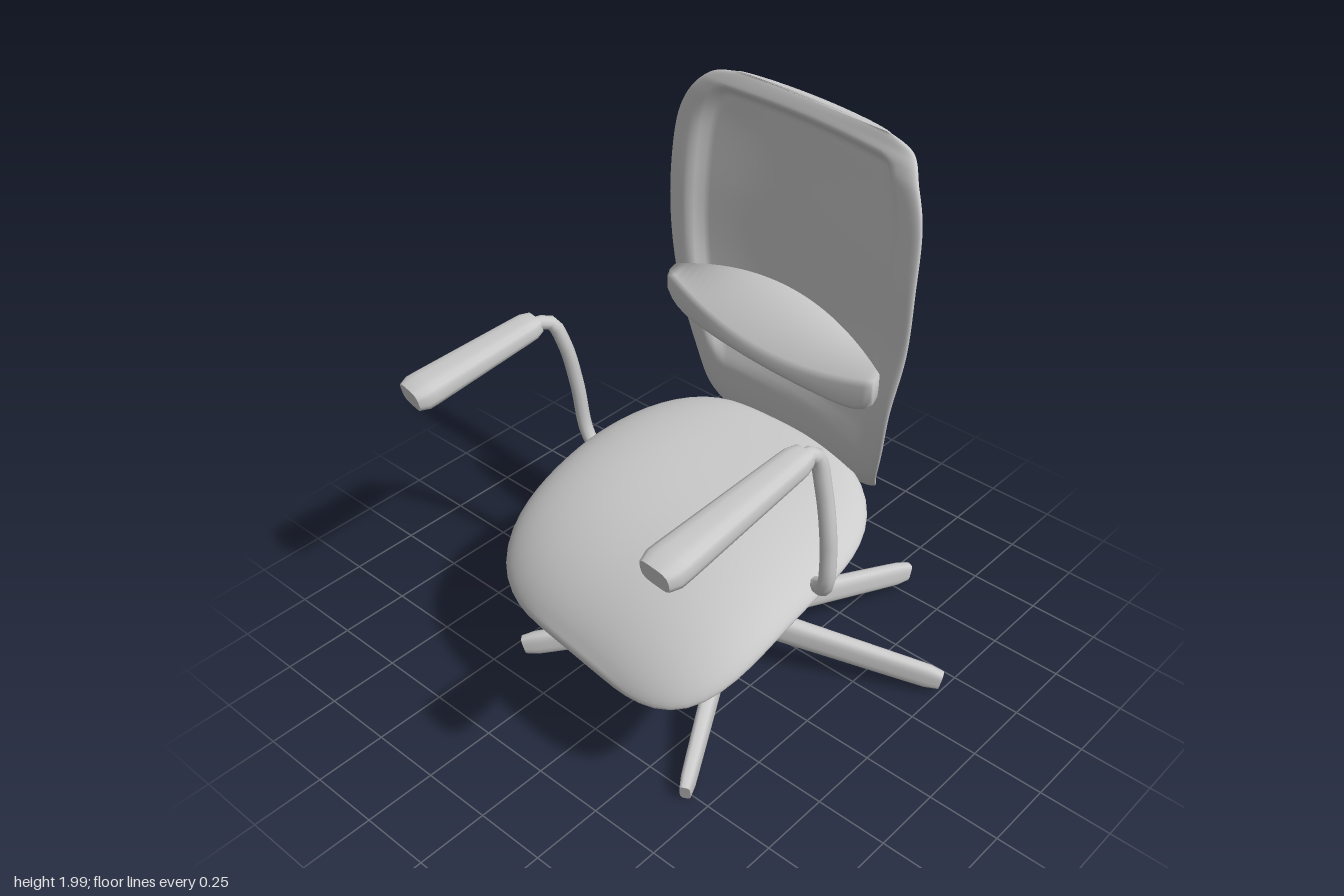
import * as THREE from 'three';

const material = new THREE.MeshStandardMaterial({ color: 0xcccccc, side: THREE.DoubleSide });
const V = (x, y, z) => new THREE.Vector3(x, y, z);
const smooth = THREE.MathUtils.smoothstep;
const safeRoot = x => Math.sqrt(Math.max(0, x));

function add(parent, name, geometry) {
  const mesh = new THREE.Mesh(geometry, material);
  mesh.name = name;
  parent.add(mesh);
  return mesh;
}

// Skin over rows of closed rings; first and last rows are closed by a fan
function loft(rows) {
  const n = rows[0].length, pos = [], idx = [];
  rows.forEach(r => r.forEach(p => pos.push(p.x, p.y, p.z)));
  for (let i = 0; i < rows.length - 1; i++) {
    for (let j = 0; j < n; j++) {
      const a = i * n + j, b = i * n + (j + 1) % n;
      idx.push(a, b, a + n, b, b + n, a + n);
    }
  }
  const last = (rows.length - 1) * n;
  for (let j = 1; j < n - 1; j++) {
    idx.push(0, j + 1, j, last, last + j, last + j + 1);
  }
  const g = new THREE.BufferGeometry();
  g.setAttribute('position', new THREE.Float32BufferAttribute(pos, 3));
  g.setIndex(idx);
  g.computeVertexNormals();
  return g;
}

function tube(parent, name, points, radius) {
  const curve = new THREE.CatmullRomCurve3(points.map(p => V(...p)));
  return add(parent, name, new THREE.TubeGeometry(curve, 40, radius, 10));
}

// Tapered bar with a rounded rectangular section and softened ends
function bar(parent, name, from, to, [w0, h0], [w1, h1]) {
  const a = V(...from), b = V(...to), len = a.distanceTo(b);
  const g = new THREE.CylinderGeometry(1, 1, len, 20, 16).rotateX(Math.PI / 2);
  const p = g.attributes.position;
  for (let i = 0; i < p.count; i++) {
    const x = p.getX(i), y = p.getY(i), t = THREE.MathUtils.clamp(p.getZ(i) / len + 0.5, 0, 1);
    const r = Math.hypot(x, y) || 1;
    const square = r / Math.max(0.001, (x ** 4 + y ** 4) ** 0.25);
    const k = square * (0.8 + 0.2 * safeRoot(1 - (2 * t - 1) ** 16)) / 2;
    p.setXY(i, x * k * THREE.MathUtils.lerp(w0, w1, t), y * k * THREE.MathUtils.lerp(h0, h1, t));
  }
  g.computeVertexNormals();
  const mesh = add(parent, name, g);
  mesh.position.copy(a).lerp(b, 0.5);
  mesh.lookAt(b);
  return mesh;
}

// Domed seat shell with a thick waterfall front, slightly turned
function seatGeometry() {
  const rows = [], steps = 22, sides = 72;
  for (let i = 0; i <= 2 * steps; i++) {
    const side = i <= steps ? 1 : -1;
    const r = Math.max(0.001, Math.sin((i / (2 * steps)) * Math.PI));
    const row = [];
    for (let j = 0; j < sides; j++) {
      const a = (j / sides) * Math.PI * 2, c = Math.cos(a), s = Math.sin(a);
      const k = r / (Math.abs(c) ** 3.6 + Math.abs(s) ** 3.6) ** (1 / 3.6);
      const u = c * k, v = s * k;
      const x = 0.06 - 0.03 * v + u * (0.54 - (v < 0 ? 0.06 * v * v : 0));
      const z = 0.135 + 0.475 * v + 0.06 * u * (0.5 + 0.5 * v);
      const t = THREE.MathUtils.clamp((0.16 + 0.48 * v + 0.3) / 0.93, 0, 1);
      const top = 0.888 - 0.13 * t - 0.24 * t ** 4 - 0.085 * Math.abs(u) ** 3;
      const half = 0.038 + 0.022 * smooth(v, -0.3, 1);
      row.push(V(x, top - half + side * half * safeRoot(1 - r ** 10), z));
    }
    rows.push(row.reverse());
  }
  return loft(rows.reverse());
}

// Back outline: height, right edge, left edge, depth, amount of curve
const backRows = [
  [0.66, 0.03, 0.24, -0.5, 0], [0.7, -0.06, 0.33, -0.465, 0.1], [0.77, -0.18, 0.45, -0.405, 0.3],
  [0.86, -0.25, 0.5, -0.36, 0.5], [1.0, -0.3, 0.55, -0.34, 0.75], [1.2, -0.38, 0.59, -0.345, 1],
  [1.4, -0.43, 0.62, -0.36, 1], [1.6, -0.44, 0.625, -0.37, 1], [1.8, -0.42, 0.61, -0.385, 0.9],
  [1.9, -0.37, 0.57, -0.39, 0.75], [1.97, -0.29, 0.52, -0.395, 0.5], [2.0, -0.18, 0.42, -0.395, 0.35],
];
const edgeCurve = new THREE.CatmullRomCurve3(backRows.map(r => V(r[1], r[0], r[2])));
const depthCurve = new THREE.CatmullRomCurve3(backRows.map(r => V(r[3], r[0], r[4])));

// Curved back with a raised border around a recessed panel
function backGeometry() {
  const rows = [], steps = 88, cols = 44;
  for (let i = 0; i <= steps; i++) {
    const e = edgeCurve.getPoint(i / steps), d = depthCurve.getPoint(i / steps);
    const half = (e.z - e.x) / 2, mid = (e.z + e.x) / 2, y = e.y;
    const thick = 0.03 * Math.sqrt(THREE.MathUtils.clamp((2.0 - y) / 0.05, 0.08, 1));
    const row = [];
    for (let j = 0; j < 2 * cols; j++) {
      const front = j < cols;
      const u = -Math.cos((j / cols) * Math.PI);
      const inside = smooth((1 - Math.abs(u)) * half, 0.09, 0.13) * smooth(2.0 - y, 0.05, 0.09) * smooth(y, 0.98, 1.1);
      const centre = d.x + d.z * (0.07 * u + 0.07 * u * u);
      const round = safeRoot(1 - u ** 6);
      row.push(V(mid + u * half, y, centre + (front ? thick * round - 0.03 * inside : -thick * round)));
    }
    rows.push(row);
  }
  return loft(rows);
}

// Boat-shaped lumbar cushion standing off the back
function lumbarGeometry() {
  const rows = [];
  for (let i = 0; i <= 32; i++) {
    const u = 1 - i / 16, x = 0.09 + 0.45 * u, belly = 1 - u * u;
    const front = -0.185 + 0.045 * u - 0.03 * u * u + 0.01 * belly;
    const rear = front - 0.04 - 0.12 * belly;
    const low = 1.165 + 0.05 * Math.abs(u) ** 12, top = 1.31 + 0.07 * belly;
    const crease = 1.215 + 0.065 * u * u;
    rows.push([
      V(x, low, front - 0.015), V(x, low + 0.02, front), V(x, crease, front),
      V(x, crease + 0.02, front - 0.012), V(x, top, rear), V(x, low + 0.02, rear),
    ]);
  }
  return loft(rows);
}

export function createModel() {
  const chair = new THREE.Group();
  chair.name = 'officeChair';

  add(chair, 'seat', seatGeometry());
  add(chair, 'backrest', backGeometry());
  add(chair, 'lumbarSupport', lumbarGeometry());

  // Spine block behind the back, with two bent rods
  const profile = new THREE.Shape([
    [-0.43, 0.98], [-0.47, 0.98], [-0.48, 0.95], [-0.515, 0.8], [-0.51, 0.68], [-0.45, 0.62],
    [-0.39, 0.65], [-0.4, 0.7], [-0.46, 0.75], [-0.46, 0.82],
  ].map(p => new THREE.Vector2(...p)));
  const spine = add(chair, 'spineBracket', new THREE.ExtrudeGeometry(profile, {
    depth: 0.12, bevelSize: 0.01, bevelThickness: 0.015, bevelSegments: 2,
  }));
  spine.rotation.y = -Math.PI / 2;
  spine.position.x = 0.2;
  tube(chair, 'rightBackRod', [[0.1, 0.95, -0.46], [0.03, 1.0, -0.44], [-0.13, 1.08, -0.4], [-0.27, 1.2, -0.37]], 0.016);
  tube(chair, 'leftBackRod', [[0.18, 0.95, -0.46], [0.25, 1.0, -0.42], [0.37, 1.07, -0.36], [0.46, 1.17, -0.3]], 0.016);

  // Mechanism below the seat
  bar(chair, 'tiltBeam', [0.11, 0.65, -0.01], [0.14, 0.67, -0.46], [0.13, 0.1], [0.1, 0.08]);
  bar(chair, 'seatMount', [0.11, 0.63, -0.04], [0.1, 0.79, 0.03], [0.12, 0.1], [0.2, 0.13]);

  // Armrests: bent tube from the mechanism and a sloping pad
  tube(chair, 'rightArmTube', [[0.1, 0.7, 0], [-0.2, 0.66, -0.01], [-0.45, 0.63, -0.02], [-0.52, 0.7, -0.02],
    [-0.54, 0.9, 0], [-0.55, 1.08, 0.04], [-0.57, 1.17, 0.08], [-0.61, 1.17, 0.16]], 0.024);
  bar(chair, 'rightArmPad', [-0.605, 1.17, 0.11], [-0.69, 1.07, 0.58], [0.1, 0.07], [0.14, 0.09]);
  tube(chair, 'leftArmTube', [[0.1, 0.7, 0], [0.35, 0.69, 0.04], [0.58, 0.72, 0.1], [0.65, 0.79, 0.15],
    [0.66, 0.95, 0.16], [0.64, 1.15, 0.17], [0.625, 1.28, 0.2], [0.62, 1.3, 0.28]], 0.026);
  bar(chair, 'leftArmPad', [0.62, 1.3, 0.24], [0.575, 1.19, 0.8], [0.09, 0.07], [0.14, 0.09]);

  // Gas column with stepped collars
  const column = [[0, 0.05], [0.032, 0.05], [0.04, 0.14], [0.062, 0.18], [0.065, 0.27], [0.05, 0.29], [0.046, 0.31],
    [0.043, 0.4], [0.036, 0.43], [0.034, 0.5], [0.042, 0.51], [0.042, 0.58], [0.055, 0.6], [0.055, 0.68], [0, 0.68]];
  const post = add(chair, 'column', new THREE.LatheGeometry(column.map(p => new THREE.Vector2(...p)), 24));
  post.position.set(0.11, 0, -0.06);

  // Star base
  const tips = [[0.33, -0.8], [0.75, -0.41], [-0.45, -0.53], [0.43, 0.53], [-0.45, 0.4]];
  tips.forEach(([x, z], i) => {
    const tipY = i < 2 ? 0.065 : 0.045;
    bar(chair, 'baseLeg' + (i + 1), [0.11, 0.225, -0.06], [x, tipY, z], [0.065, 0.1], [0.045, 0.085]);
  });

  return chair;
}
